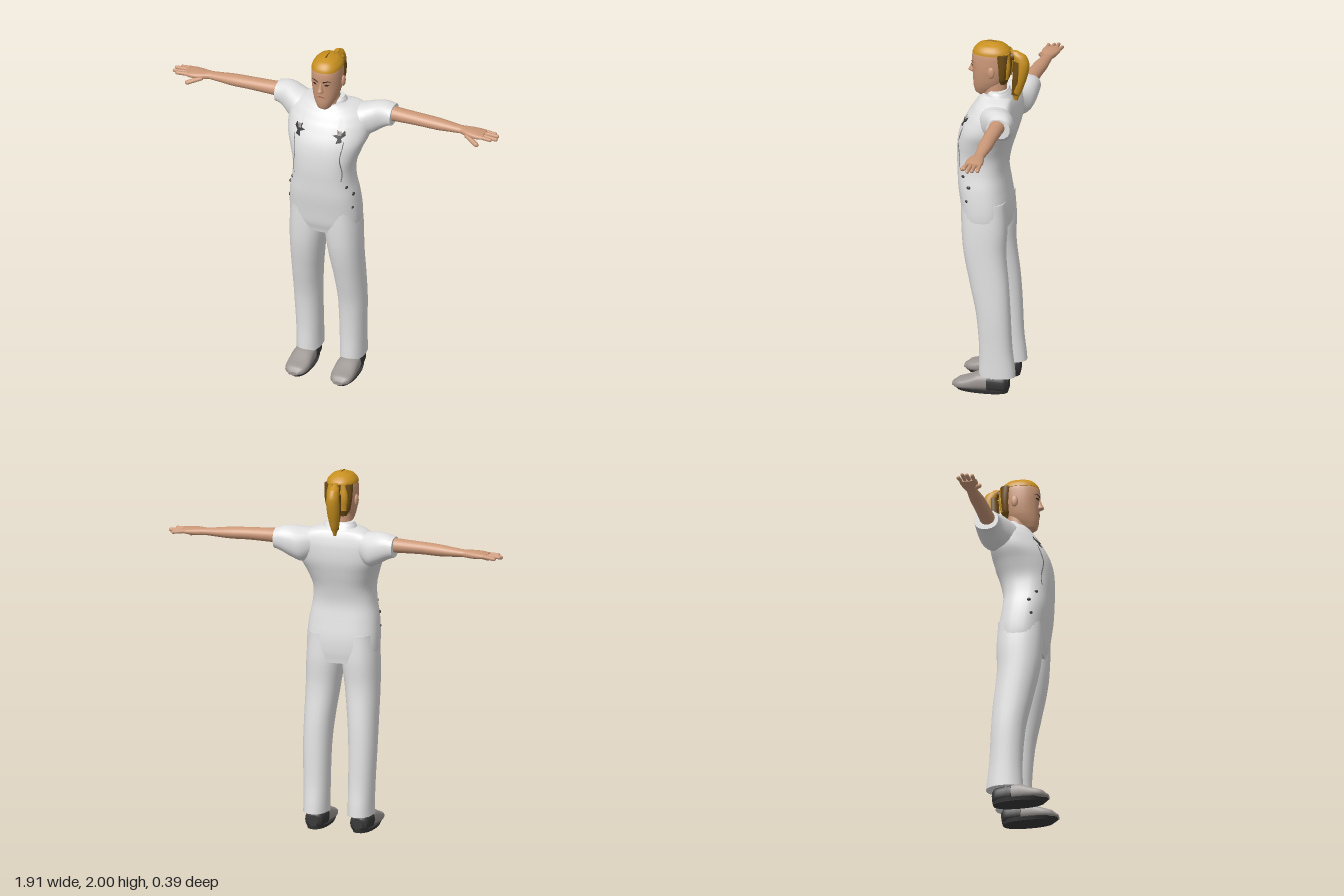
import * as THREE from 'three';

const mat = (name, color, side = THREE.FrontSide) => {
  const m = new THREE.MeshStandardMaterial({ color, side });
  m.name = name;
  return m;
};

// Catmull-Rom smoothing of a list of cross-sections: [t, centreU, halfU, minV, maxV, bend]
function smooth(rings, steps = 4) {
  const out = [];
  const n = rings.length - 1;
  const at = (i, k) => rings[Math.min(n, Math.max(0, i))][k] || 0;
  for (let i = 0; i <= n * steps; i++) {
    const j = Math.min(n - 1, Math.floor(i / steps));
    const f = i / steps - j;
    out.push([0, 1, 2, 3, 4, 5].map((k) => {
      const a = at(j - 1, k), b = at(j, k), c = at(j + 1, k), d = at(j + 2, k);
      if (k === 0) return b + (c - b) * f;
      return b + 0.5 * f * (c - a + f * (2 * a - 5 * b + 4 * c - d + f * (3 * (b - c) + d - a)));
    }));
  }
  return out;
}

// Skin through super-ellipse sections stacked along an axis, closed by flat caps
function loft(rings, axis = 'y', power = 2.3, seg = 28) {
  const pos = [], idx = [];
  const place = { y: (t, u, v) => [u, t, v], x: (t, u, v) => [t, v, u], z: (t, u, v) => [v, u, t] }[axis];
  const dense = smooth(rings);
  const row = seg + 1;
  const round = (c) => Math.sign(c) * Math.abs(c) ** (2 / power);
  const point = (r, i) => {
    const a = ((i % seg) / seg) * Math.PI * 2;
    const u = round(Math.cos(a)), v = round(Math.sin(a));
    return place(r[0], r[1] + r[2] * u, (r[3] + r[4]) / 2 + ((r[4] - r[3]) / 2) * v + r[5] * u * u);
  };
  dense.forEach((r, j) => {
    for (let i = 0; i < row; i++) {
      // the seam shares its first vertex so that the shading stays smooth
      pos.push(...point(r, i));
      if (j && i < seg) {
        const e = (i + 1) % seg, a = (j - 1) * row + i, b = (j - 1) * row + e, c = j * row + i, d = j * row + e;
        idx.push(a, c, b, b, c, d);
      }
    }
  });
  [0, dense.length - 1].forEach((j) => {
    const r = dense[j], base = pos.length / 3;
    pos.push(...place(r[0], r[1], (r[3] + r[4]) / 2));
    for (let i = 0; i < row; i++) pos.push(...point(r, i));
    for (let i = 1; i < row; i++) idx.push(base, ...(j ? [base + i + 1, base + i] : [base + i, base + i + 1]));
  });
  const g = new THREE.BufferGeometry();
  g.setAttribute('position', new THREE.Float32BufferAttribute(pos, 3));
  g.setIndex(idx);
  g.computeVertexNormals();
  return g;
}

// Front surface depth of a vertical loft at (x, y)
function frontZ(dense, x, y, power) {
  let j = 1;
  while (j < dense.length - 1 && dense[j][0] < y) j++;
  const a = dense[j - 1], b = dense[j], f = (y - a[0]) / (b[0] - a[0]);
  const r = a.map((v, k) => v + (b[k] - v) * f);
  const u = Math.min(1, Math.abs(x - r[1]) / r[2]);
  return (r[3] + r[4]) / 2 + ((r[4] - r[3]) / 2) * (1 - u ** power) ** (1 / power) + r[5] * u * u;
}

// Flat outline laid on the front of a loft
function decal(rings, power, pts, off = 0.004) {
  const g = new THREE.ShapeGeometry(new THREE.Shape(pts.map((p) => new THREE.Vector2(...p))));
  const dense = smooth(rings), p = g.attributes.position;
  for (let i = 0; i < p.count; i++) p.setZ(i, frontZ(dense, p.getX(i), p.getY(i), power) + off);
  g.computeVertexNormals();
  return g;
}

// Rounded finger between two points
function finger(a, b, r) {
  const A = new THREE.Vector3(...a), B = new THREE.Vector3(...b), d = B.clone().sub(A);
  const q = new THREE.Quaternion().setFromUnitVectors(new THREE.Vector3(0, 1, 0), d.clone().normalize());
  const mid = A.add(B).multiplyScalar(0.5);
  return new THREE.CapsuleGeometry(r, d.length() - r, 4, 10).applyQuaternion(q).translate(mid.x, mid.y, mid.z);
}

const ball = (x, y, z, sx, sy, sz) => new THREE.SphereGeometry(1, 16, 12).scale(sx, sy, sz).translate(x, y, z);

function mirrored(geo) {
  const g = geo.clone().scale(-1, 1, 1), ix = g.index;
  for (let i = 0; i < ix.count; i += 3) {
    const t = ix.getX(i);
    ix.setX(i, ix.getX(i + 1));
    ix.setX(i + 1, t);
  }
  return g;
}

export function createModel() {
  const model = new THREE.Group();
  model.name = 'standingFigure';
  const cloth = mat('white cloth', 0xe2e2e2);
  const skin = mat('skin', 0xcb9878);
  const gold = mat('golden hair', 0xc8901f);
  const brown = mat('dark hair', 0x6e4c14);
  const shoeGrey = mat('shoe grey', 0x9c9692);
  const dark = mat('dark rubber', 0x383838);
  const seamGrey = mat('seam grey', 0x777777);
  const feature = mat('face dark', 0x3c2a22);
  const lip = mat('lip', 0xa06450);

  const add = (name, geo, m) => {
    const mesh = new THREE.Mesh(geo, m);
    mesh.name = name;
    model.add(mesh);
  };
  const pair = (name, geo, m) => {
    add('left' + name, geo, m);
    add('right' + name, mirrored(geo), m);
  };

  // Overalls: torso, trouser legs, sleeves and collar
  const torso = [
    [0.94, 0, 0.185, -0.088, 0.145], [1.0, 0, 0.199, -0.095, 0.163], [1.08, 0, 0.2, -0.094, 0.175],
    [1.18, 0, 0.191, -0.08, 0.19], [1.27, 0, 0.174, -0.07, 0.196], [1.36, 0, 0.172, -0.085, 0.2],
    [1.45, 0, 0.2, -0.11, 0.195, -0.015], [1.52, 0, 0.228, -0.125, 0.178, -0.035],
    [1.6, 0, 0.232, -0.125, 0.138, -0.05], [1.65, 0, 0.21, -0.115, 0.105, -0.05],
    [1.685, 0, 0.16, -0.1, 0.08, -0.04], [1.705, 0, 0.085, -0.075, 0.06],
  ];
  add('torso', loft(torso, 'y', 2.6, 40), cloth);
  pair('TrouserLeg', loft([
    [0.095, 0.127, 0.068, -0.148, 0.055], [0.25, 0.128, 0.07, -0.13, 0.052], [0.45, 0.13, 0.075, -0.12, 0.068],
    [0.6, 0.125, 0.08, -0.11, 0.1], [0.8, 0.112, 0.092, -0.09, 0.142], [0.95, 0.102, 0.1, -0.094, 0.157],
    [1.1, 0.1, 0.092, -0.085, 0.16],
  ]), cloth);
  pair('Sleeve', loft([
    [0.12, -0.04, 0.08, 1.54, 1.68], [0.19, -0.06, 0.1, 1.5, 1.687], [0.25, -0.085, 0.088, 1.525, 1.697],
    [0.3, -0.102, 0.072, 1.555, 1.694], [0.34, -0.105, 0.066, 1.57, 1.683],
  ], 'x'), cloth);
  add('collar', loft([
    [1.65, 0, 0.125, -0.115, 0.04], [1.69, 0, 0.1, -0.1, 0.04], [1.715, 0, 0.088, -0.085, 0.035],
    [1.73, 0, 0.08, -0.075, 0.02],
  ]), cloth);

  // Bib seams, strap buckles and hip buttons
  const seam = [];
  for (let i = 0; i <= 8; i++) seam.push([0.135 + 0.006 * Math.sin(i), 1.3 + i * 0.03]);
  pair('BibSeam', decal(torso, 2.6, [...seam, ...seam.map(([x, y]) => [x + 0.004, y]).reverse()]), seamGrey);
  pair('Strap', decal(torso, 2.6, [[0.1, 1.58], [0.135, 1.58], [0.13, 1.64], [0.1, 1.655]], 0.003), cloth);
  pair('Buckle', decal(torso, 2.6, [
    [0.105, 1.535], [0.135, 1.54], [0.128, 1.56], [0.148, 1.575], [0.14, 1.6], [0.122, 1.58],
    [0.1, 1.605], [0.105, 1.58], [0.08, 1.575], [0.11, 1.56],
  ], 0.006), dark);
  pair('BucklePlate', decal(torso, 2.6, [[0.108, 1.575], [0.126, 1.575], [0.126, 1.598], [0.11, 1.598]], 0.008), shoeGrey);
  [[0.158, 1.255, 0.135], [0.184, 1.2, 0.1], [0.182, 1.12, 0.11]].forEach(([x, y, z]) =>
    pair('HipButton', ball(x, y, z, 0.008, 0.009, 0.011), dark));

  // Arms and hands
  pair('Arm', loft([
    [0.28, -0.1, 0.045, 1.593, 1.682], [0.36, -0.1, 0.042, 1.597, 1.675], [0.5, -0.1, 0.04, 1.6, 1.668],
    [0.6, -0.102, 0.039, 1.598, 1.662], [0.7, -0.104, 0.031, 1.603, 1.65], [0.76, -0.104, 0.028, 1.606, 1.645],
  ], 'x', 2), skin);
  pair('Palm', loft([
    [0.74, -0.104, 0.029, 1.606, 1.645], [0.79, -0.1, 0.043, 1.602, 1.645],
    [0.84, -0.1, 0.049, 1.605, 1.642], [0.875, -0.101, 0.045, 1.61, 1.636],
  ], 'x', 2.4), skin);
  [[-0.141, 0.925], [-0.115, 0.948], [-0.089, 0.95], [-0.064, 0.925]].forEach(([z, tip], i) =>
    pair('Finger' + (i + 1), finger([0.85, 1.625, -0.1 + (z + 0.1) * 0.9], [tip, 1.615 + 0.006 * (i % 2), z], 0.0105), skin));
  pair('Thumb', finger([0.775, 1.618, -0.07], [0.855, 1.588, -0.036], 0.013), skin);

  // Shoes
  pair('ShoeUpper', loft([
    [-0.03, 0.06, 0.05, 0.075, 0.185], [0.05, 0.058, 0.05, 0.07, 0.192], [0.12, 0.043, 0.035, 0.067, 0.195],
    [0.17, 0.036, 0.025, 0.078, 0.188], [0.2, 0.03, 0.01, 0.105, 0.16],
  ], 'z', 2.6), shoeGrey);
  pair('ShoeHeel', loft([
    [-0.112, 0.05, 0.03, 0.1, 0.155], [-0.095, 0.052, 0.045, 0.08, 0.178],
    [-0.03, 0.055, 0.052, 0.072, 0.187], [0, 0.056, 0.053, 0.07, 0.19],
  ], 'z', 2.6), dark);
  pair('ShoeSole', loft([[0, 0.13, 0.057, -0.108, 0.175], [0.02, 0.13, 0.064, -0.113, 0.198]]), dark);

  // Head, neck and face
  const head = [
    [1.692, 0, 0.025, 0.04, 0.09], [1.705, 0, 0.038, 0.01, 0.108], [1.74, 0, 0.057, -0.035, 0.117],
    [1.78, 0, 0.071, -0.06, 0.119], [1.84, 0, 0.081, -0.076, 0.121], [1.9, 0, 0.083, -0.084, 0.126],
    [1.945, 0, 0.078, -0.08, 0.118], [1.98, 0, 0.055, -0.05, 0.085], [1.993, 0, 0.02, -0.01, 0.04],
  ];
  add('head', loft(head, 'y', 2.2), skin);
  add('neck', loft([[1.6, 0, 0.07, -0.08, 0.06], [1.69, 0, 0.062, -0.07, 0.062], [1.78, 0, 0.058, -0.065, 0.06]], 'y', 2), skin);
  add('nose', loft([
    [1.812, 0, 0.012, 0.1, 0.125], [1.823, 0, 0.017, 0.1, 0.147], [1.845, 0, 0.012, 0.1, 0.138], [1.885, 0, 0.008, 0.1, 0.124],
  ], 'y', 2, 14), skin);
  pair('Ear', ball(0.085, 1.845, 0, 0.011, 0.033, 0.02), skin);
  pair('Brow', decal(head, 2.2, [[0.014, 1.88], [0.04, 1.889], [0.062, 1.882], [0.04, 1.895], [0.014, 1.889]]), feature);
  pair('Eye', decal(head, 2.2, [[0.02, 1.866], [0.035, 1.861], [0.051, 1.866], [0.035, 1.875]]), feature);
  add('mouth', decal(head, 2.2, [[-0.027, 1.784], [0, 1.777], [0.027, 1.784], [0.008, 1.791], [-0.008, 1.791]]), lip);

  // Hair: cap, back of the head and ponytail
  add('hairCap', loft([
    [1.938, 0, 0.083, -0.09, 0.122], [1.96, 0, 0.077, -0.082, 0.113], [1.983, 0, 0.057, -0.056, 0.09],
    [1.996, 0, 0.028, -0.025, 0.055], [2.0, 0, 0.008, 0, 0.025],
  ]), gold);
  add('backHair', loft([
    [1.765, 0, 0.045, -0.07, -0.03], [1.8, 0, 0.066, -0.083, -0.025], [1.87, 0, 0.078, -0.092, -0.02],
    [1.945, 0, 0.08, -0.092, -0.01],
  ]), brown);
  pair('BackLock', loft([
    [1.8, 0.035, 0.018, -0.086, -0.05], [1.87, 0.038, 0.024, -0.098, -0.05], [1.95, 0.03, 0.026, -0.09, -0.04],
  ]), gold);
  add('parting', loft([[-0.06, 1.97, 0.01, -0.004, 0.004], [0, 1.992, 0.01, -0.004, 0.004], [0.05, 1.991, 0.01, -0.004, 0.004]], 'z', 2, 8), brown);
  add('hairTie', ball(0, 1.925, -0.1, 0.026, 0.024, 0.024), brown);
  add('ponytail', loft([
    [1.668, 0, 0.008, -0.13, -0.108], [1.72, 0, 0.024, -0.153, -0.095], [1.8, 0, 0.034, -0.18, -0.108],
    [1.88, 0, 0.035, -0.194, -0.118], [1.93, 0, 0.028, -0.176, -0.098], [1.955, 0, 0.012, -0.135, -0.085],
  ], 'y', 2), gold);
  pair('TailLock', loft([
    [1.7, 0.012, 0.008, -0.135, -0.098], [1.8, 0.022, 0.014, -0.15, -0.104], [1.9, 0.022, 0.014, -0.15, -0.108],
  ], 'y', 2, 12), brown);
  return model;
}
